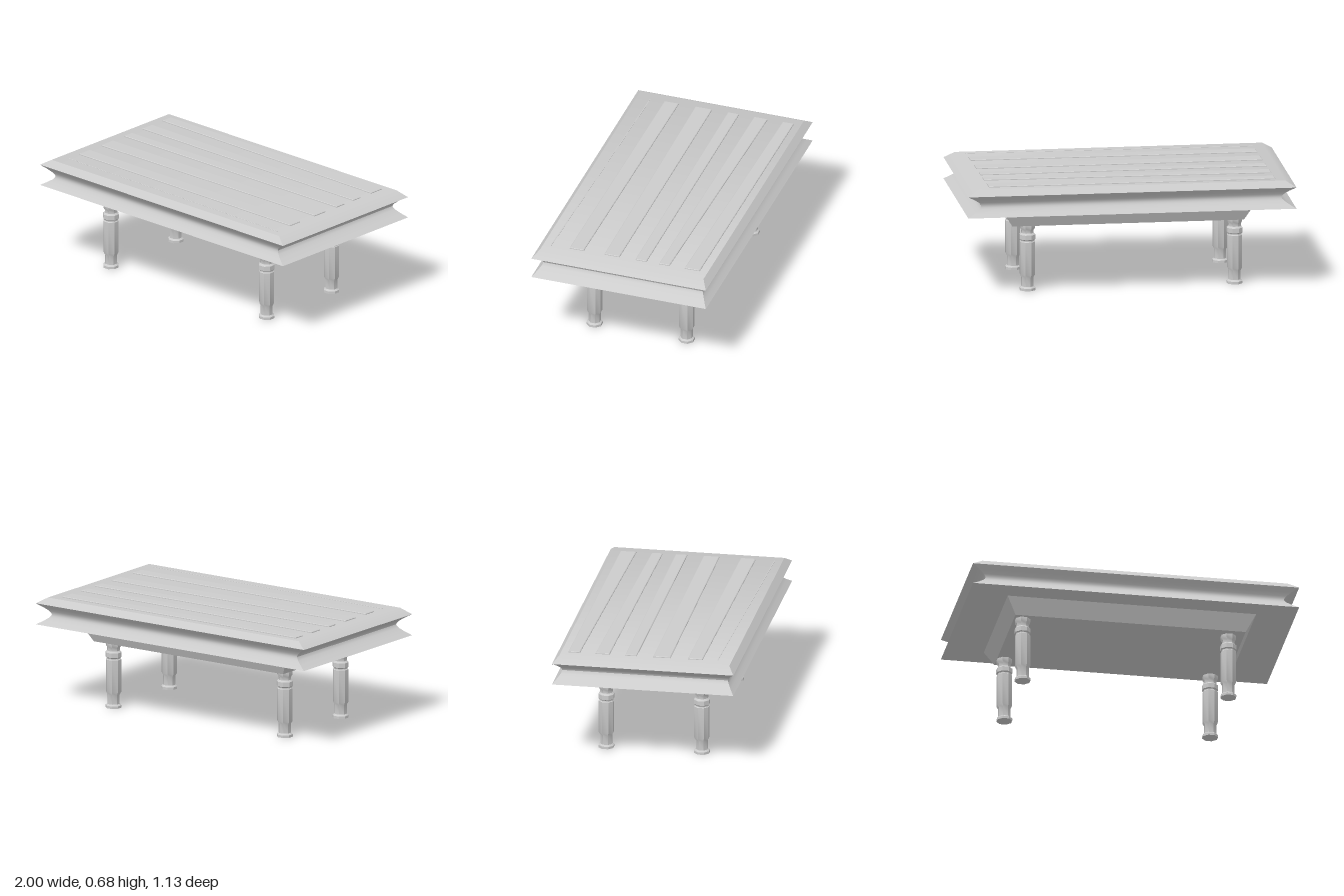
import * as THREE from 'three';
import { toCreasedNormals } from 'three/addons/utils/BufferGeometryUtils.js';

const material = new THREE.MeshStandardMaterial({ color: 0xcccccc });

// Closed solid through four-cornered rings, listed bottom to top.
// Corners run front-left, front-right, back-right, back-left as seen from above.
function loftQuads(rings, crease) {
  const pos = [];
  const quad = (a, b, c, d) => pos.push(...a, ...b, ...c, ...a, ...c, ...d);
  for (let i = 0; i < rings.length - 1; i++) {
    for (let j = 0; j < 4; j++) {
      const k = (j + 1) % 4;
      quad(rings[i][j], rings[i][k], rings[i + 1][k], rings[i + 1][j]);
    }
  }
  const top = rings[rings.length - 1];
  const base = rings[0];
  quad(top[0], top[1], top[2], top[3]);
  quad(base[3], base[2], base[1], base[0]);
  const geo = new THREE.BufferGeometry();
  geo.setAttribute('position', new THREE.Float32BufferAttribute(pos, 3));
  return toCreasedNormals(geo, crease);
}

const rect = (hx, hz, y) => [[-hx, y, hz], [hx, y, hz], [hx, y, -hz], [-hx, y, -hz]];

function addMesh(parent, geo, name) {
  const mesh = new THREE.Mesh(geo, material);
  mesh.name = name;
  parent.add(mesh);
  return mesh;
}

export function createModel() {
  const table = new THREE.Group();
  table.name = 'table';
  const body = new THREE.Group();
  body.name = 'tableBody';
  body.rotation.y = -0.014; // the table sits very slightly askew
  table.add(body);

  // Table top: waisted edge and bevelled upper rim, as [scale, height]
  const edge = [
    [1, 0.505], [0.957, 0.53], [0.928, 0.55], [0.919, 0.56], [0.915, 0.57],
    [0.919, 0.58], [0.928, 0.59], [0.957, 0.611], [1, 0.635], [0.936, 0.673],
  ];
  addMesh(body, loftQuads(edge.map(([s, y]) => rect(0.992 * s, 0.552 * s, y)), 0.6), 'tableTop');

  // Tapered apron under the top
  addMesh(body, loftQuads([rect(0.7, 0.362, 0.405), rect(0.757, 0.412, 0.507)], 0.1), 'apron');

  // Raised planks, slightly uneven: [back left, front left, back right, front right] z
  const planks = [
    [-0.485, -0.415, -0.455, -0.36],
    [-0.32, -0.235, -0.265, -0.2],
    [-0.14, -0.07, -0.12, -0.05],
    [0.03, 0.135, 0.05, 0.145],
    [0.24, 0.33, 0.275, 0.365],
    [0.417, 0.423, 0.477, 0.483],
  ];
  planks.forEach(([bl, fl, br, fr], i) => {
    const height = i === 5 ? 0.002 : 0.007;
    const ring = (inset, y) => [
      [-0.868 + inset, y, fl - inset], [0.862 - inset, y, fr - inset],
      [0.862 - inset, y, br + inset], [-0.868 + inset, y, bl + inset],
    ];
    const rings = [ring(0, 0.67), ring(0, 0.673 + height * 0.6), ring(Math.min(0.004, height), 0.673 + height)];
    const mesh = addMesh(table, loftQuads(rings, 0.1), `plank${i + 1}`);
    mesh.position.y = 0;
  });

  // Turned legs: [radius, height]
  const profile = [
    [0, 0], [0.045, 0], [0.045, 0.015], [0.035, 0.024], [0.035, 0.08], [0.044, 0.098],
    [0.044, 0.298], [0.04, 0.302], [0.04, 0.308], [0.046, 0.314], [0.046, 0.342],
    [0.036, 0.352], [0.036, 0.37], [0.044, 0.383], [0.044, 0.41], [0, 0.41],
  ].map(([r, y]) => new THREE.Vector2(r / Math.cos(Math.PI / 8), y));
  const legGeo = toCreasedNormals(new THREE.LatheGeometry(profile, 8, Math.PI / 8), 0.6);
  for (const [x, side] of [[0.605, 'Left'], [-0.65, 'Right']]) {
    for (const [z, end] of [[0.29, 'front'], [-0.29, 'back']]) {
      addMesh(table, legGeo, `${end}${side}Leg`).position.set(x, 0, z);
    }
  }
  return table;
}
